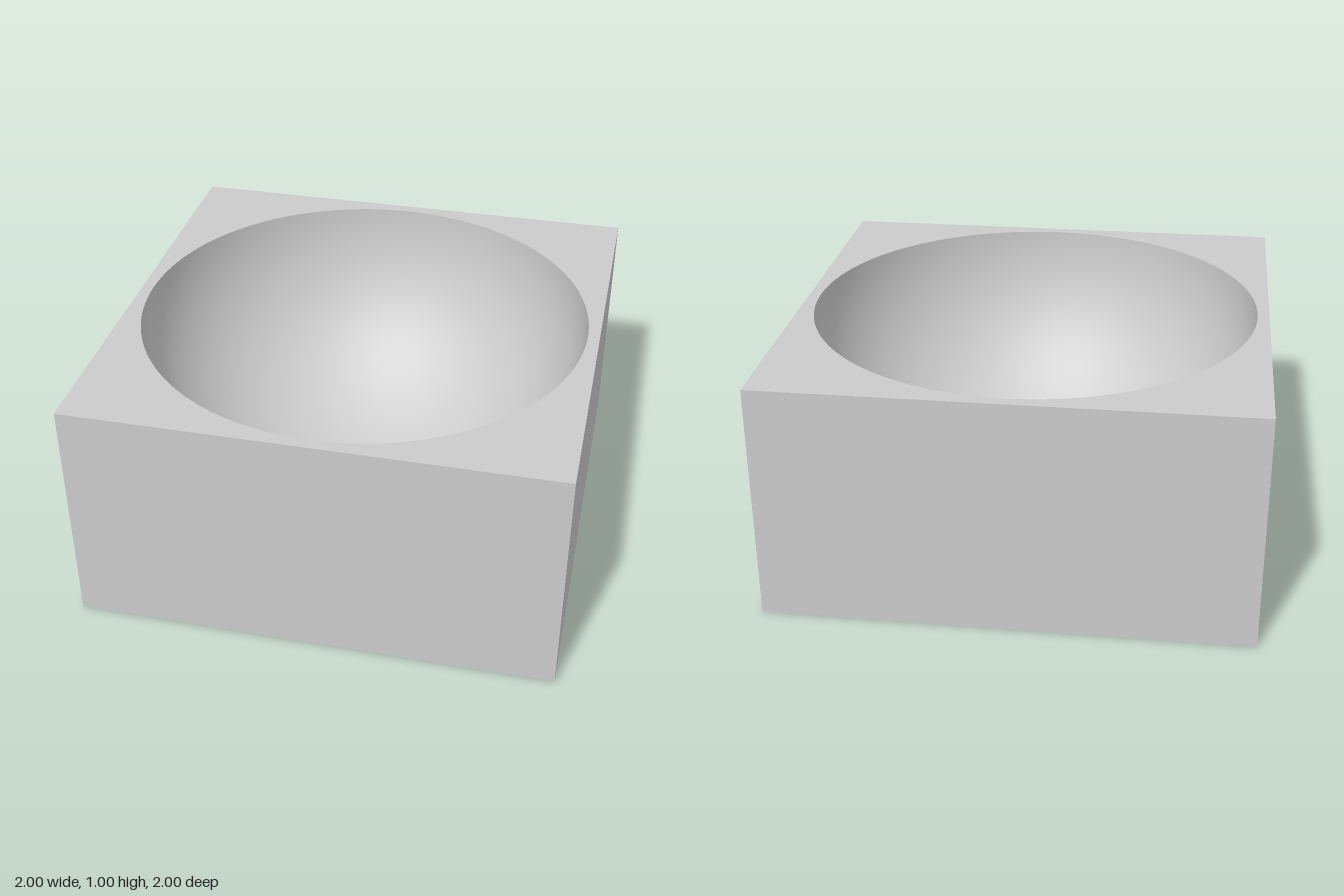
import * as THREE from 'three';

const HALF = 1, HEIGHT = 1, RADIUS = 0.95, SEGMENTS = 128, RINGS = 48;

export function createModel() {
  const model = new THREE.Group();
  model.name = 'hollowedBlock';
  const material = new THREE.MeshStandardMaterial({ color: 0xcccccc });
  const add = (name, geometry, y) => {
    const mesh = new THREE.Mesh(geometry, material);
    mesh.name = name;
    mesh.position.y = y;
    model.add(mesh);
  };

  // Four walls and base: a box without its top face
  const box = new THREE.BoxGeometry(2 * HALF, HEIGHT, 2 * HALF);
  const index = Array.from(box.index.array);
  index.splice(12, 6);
  box.setIndex(index);
  box.clearGroups();
  add('blockWalls', box, HEIGHT / 2);

  // Flat top with the round opening
  const square = new THREE.Shape([[-1, -1], [1, -1], [1, 1], [-1, 1]]
    .map(([x, y]) => new THREE.Vector2(x * HALF, y * HALF)));
  square.holes.push(new THREE.Path().absarc(0, 0, RADIUS, 0, Math.PI * 2, true));
  add('topRim', new THREE.ShapeGeometry(square, SEGMENTS).rotateX(-Math.PI / 2), HEIGHT);

  // Hemispherical hollow, profiled from rim to bottom so that it faces inward
  const profile = [];
  for (let i = 0; i <= RINGS; i++) {
    const a = (i / RINGS) * Math.PI / 2;
    profile.push(new THREE.Vector2(i === RINGS ? 0 : RADIUS * Math.cos(a), -RADIUS * Math.sin(a)));
  }
  add('bowlHollow', new THREE.LatheGeometry(profile, SEGMENTS), HEIGHT);

  return model;
}
